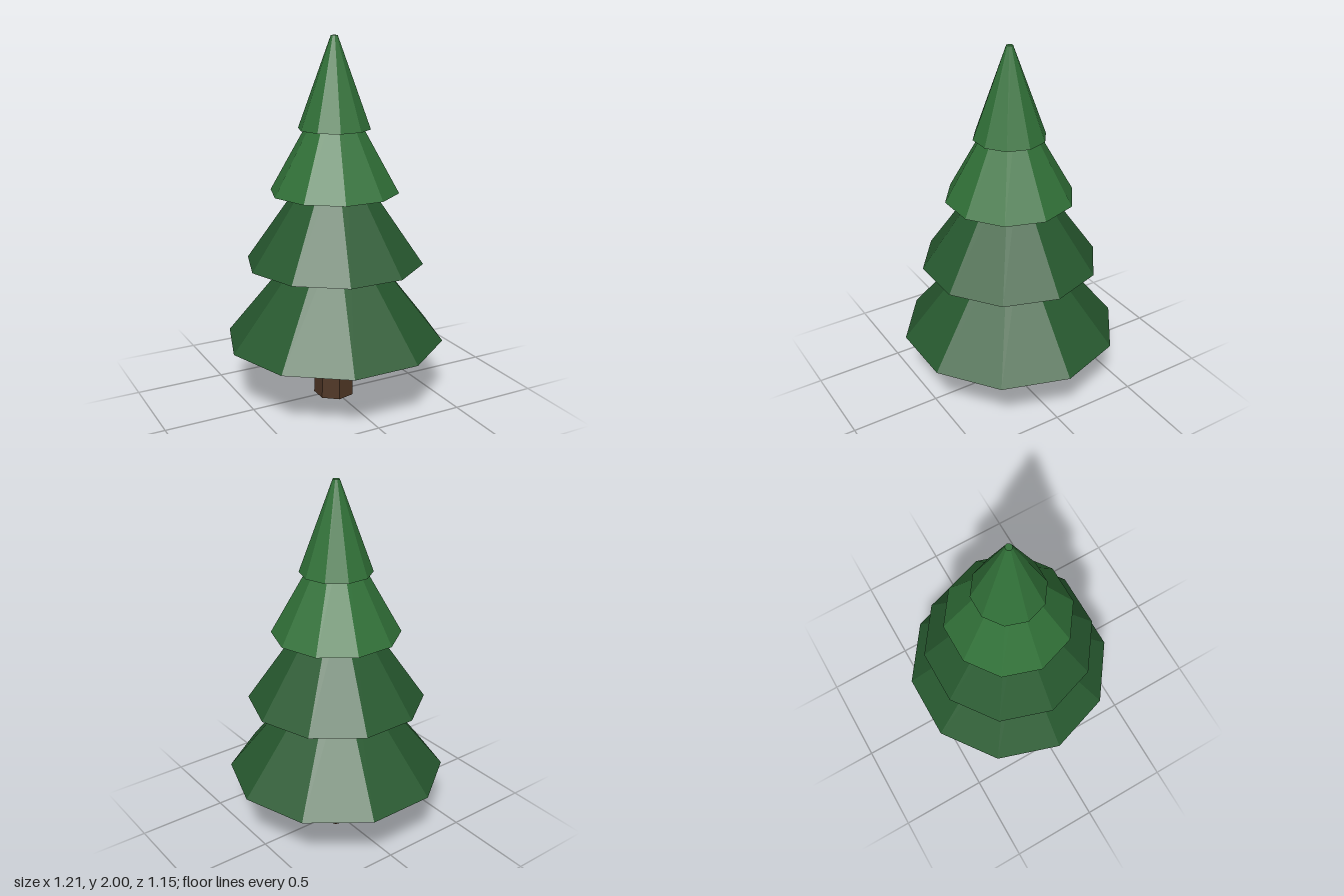
import * as THREE from 'three';

const mat = (name, color) => {
  const m = new THREE.MeshStandardMaterial({ color });
  m.name = name;
  return m;
};

// Faceted tapered prism standing on y, with one corner on the +x axis
function taper(name, material, sides, rBottom, rTop, y0, y1) {
  const indexed = new THREE.CylinderGeometry(rTop, rBottom, y1 - y0, sides, 1, false, Math.PI / 2);
  const geo = indexed.toNonIndexed();
  geo.computeVertexNormals();
  const mesh = new THREE.Mesh(geo, material);
  mesh.name = name;
  mesh.position.y = (y0 + y1) / 2;
  return mesh;
}

export function createModel() {
  const tree = new THREE.Group();
  tree.name = 'pineTree';
  const bark = mat('brownBark', 0x4f3625);
  const dark = mat('darkGreenNeedles', 0x27592f);
  const light = mat('lightGreenNeedles', 0x317138);

  // Seven-sided trunk
  tree.add(taper('trunk', bark, 7, 0.115, 0.1, 0, 0.36));

  // Ten-sided foliage tiers, each tucked into the one above
  const tiers = [
    ['bottomTier', dark, 0.605, 0.117, 0.345, 0.95],
    ['lowerMiddleTier', dark, 0.487, 0.093, 0.785, 1.35],
    ['upperMiddleTier', light, 0.35, 0.067, 1.175, 1.68],
    ['topTier', light, 0.195, 0.018, 1.515, 2],
  ];
  for (const [name, material, rBottom, rTop, y0, y1] of tiers) {
    tree.add(taper(name, material, 10, rBottom, rTop, y0, y1));
  }

  // Two lighter wedges on the underside of the lower middle tier
  const lower = tree.getObjectByName('lowerMiddleTier');
  const cap = lower.geometry.groups[2].start;
  lower.geometry.clearGroups();
  lower.geometry.addGroup(0, cap, 0);
  for (let i = 0; i < 10; i++) lower.geometry.addGroup(cap + i * 3, 3, i === 3 || i === 9 ? 1 : 0);
  lower.material = [dark, light];

  return tree;
}
